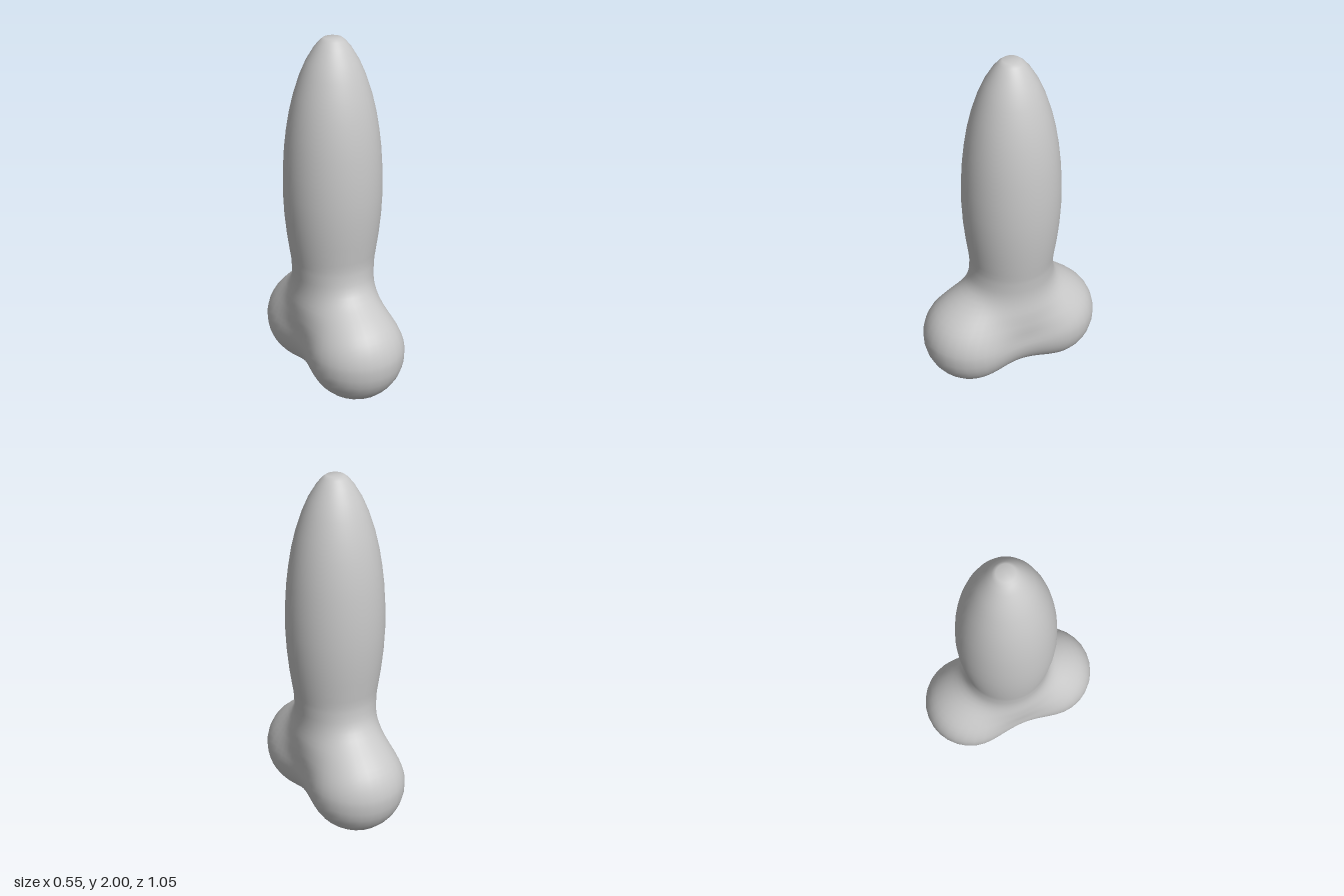
import * as THREE from 'three';
import { mergeVertices } from 'three/addons/utils/BufferGeometryUtils.js';

// Column profile: [height, radius]
const PROFILE = [
  [0.32, 0.06], [0.41, 0.13], [0.5, 0.174], [0.6, 0.197], [0.7, 0.223], [0.8, 0.241],
  [0.9, 0.255], [1.02, 0.267], [1.15, 0.273], [1.28, 0.27], [1.4, 0.262], [1.5, 0.25],
  [1.6, 0.233], [1.7, 0.209], [1.8, 0.176], [1.88, 0.141], [1.95, 0.098], [1.985, 0.068], [2, 0.048],
];
const COLUMN_Z = -0.013;

function columnRadius(y) {
  if (y <= PROFILE[0][0]) return PROFILE[0][1];
  for (let i = 1; i < PROFILE.length; i++) {
    const [y0, r0] = PROFILE[i - 1], [y1, r1] = PROFILE[i];
    if (y <= y1) return r0 + (r1 - r0) * (y - y0) / (y1 - y0);
  }
  return PROFILE[PROFILE.length - 1][1];
}

// Rounded union of two distances
function blend(a, b) {
  const k = 0.28;
  const h = Math.max(k - Math.abs(a - b), 0) / k;
  return Math.min(a, b) - h * h * k / 4;
}

// Distance to the blended form: a front and a back lobe plus a column with a rounded foot
function distance(x, y, z) {
  const front = Math.hypot(x, y - 0.272, z - 0.252) - 0.272;
  const back = Math.hypot(x, y - 0.272, z + 0.252) - 0.272;
  const below = Math.max(PROFILE[0][0] - y, 0);
  const column = Math.hypot(x, below, z - COLUMN_Z) - columnRadius(y);
  return blend(blend(front, back), column);
}

// Surface point along a ray from the central axis
function surfacePoint(y, dir) {
  let lo = 0, hi = 0.7;
  for (let i = 0; i < 24; i++) {
    const t = (lo + hi) / 2;
    if (distance(dir.x * t, y + dir.y * t, dir.z * t) < 0) lo = t; else hi = t;
  }
  return [dir.x * lo, y + dir.y * lo, dir.z * lo];
}

function bodyGeometry() {
  const SEG = 56, FAN = 16, BASE_Y = 0.28;
  // Rows fan up from the underside, then climb the axis
  const rows = [];
  for (let i = 0; i <= FAN; i++) rows.push({ y: BASE_Y, tilt: (i / FAN - 1) * Math.PI / 2 });
  for (let y = 0.31; y < 0.78; y += 0.03) rows.push({ y, tilt: 0 });
  for (const [y] of PROFILE) if (y > 0.78) rows.push({ y, tilt: 0 });

  const position = [], index = [];
  for (const { y, tilt } of rows) {
    for (let j = 0; j < SEG; j++) {
      const a = j / SEG * Math.PI * 2;
      const dir = new THREE.Vector3(Math.sin(a) * Math.cos(tilt), Math.sin(tilt), Math.cos(a) * Math.cos(tilt));
      position.push(...surfacePoint(y, dir));
    }
  }
  // Tip
  for (let j = 0; j < SEG; j++) position.push(0, 2, COLUMN_Z);

  for (let i = 0; i < rows.length; i++) {
    for (let j = 0; j < SEG; j++) {
      const k = (j + 1) % SEG;
      const a = i * SEG + j, b = i * SEG + k, c = a + SEG, d = b + SEG;
      if (i > 0) index.push(a, b, d);
      if (i < rows.length - 1) index.push(a, d, c);
    }
  }
  const geometry = new THREE.BufferGeometry();
  geometry.setAttribute('position', new THREE.Float32BufferAttribute(position, 3));
  geometry.setIndex(index);
  const merged = mergeVertices(geometry, 1e-5);
  merged.computeVertexNormals();
  return merged;
}

export function createModel() {
  const grey = new THREE.MeshStandardMaterial({ color: 0xc8c8c8 });
  grey.name = 'plain grey';
  const body = new THREE.Mesh(bodyGeometry(), grey);
  body.name = 'blendedBody';
  const model = new THREE.Group();
  model.name = 'roundedColumn';
  model.add(body);
  return model;
}
